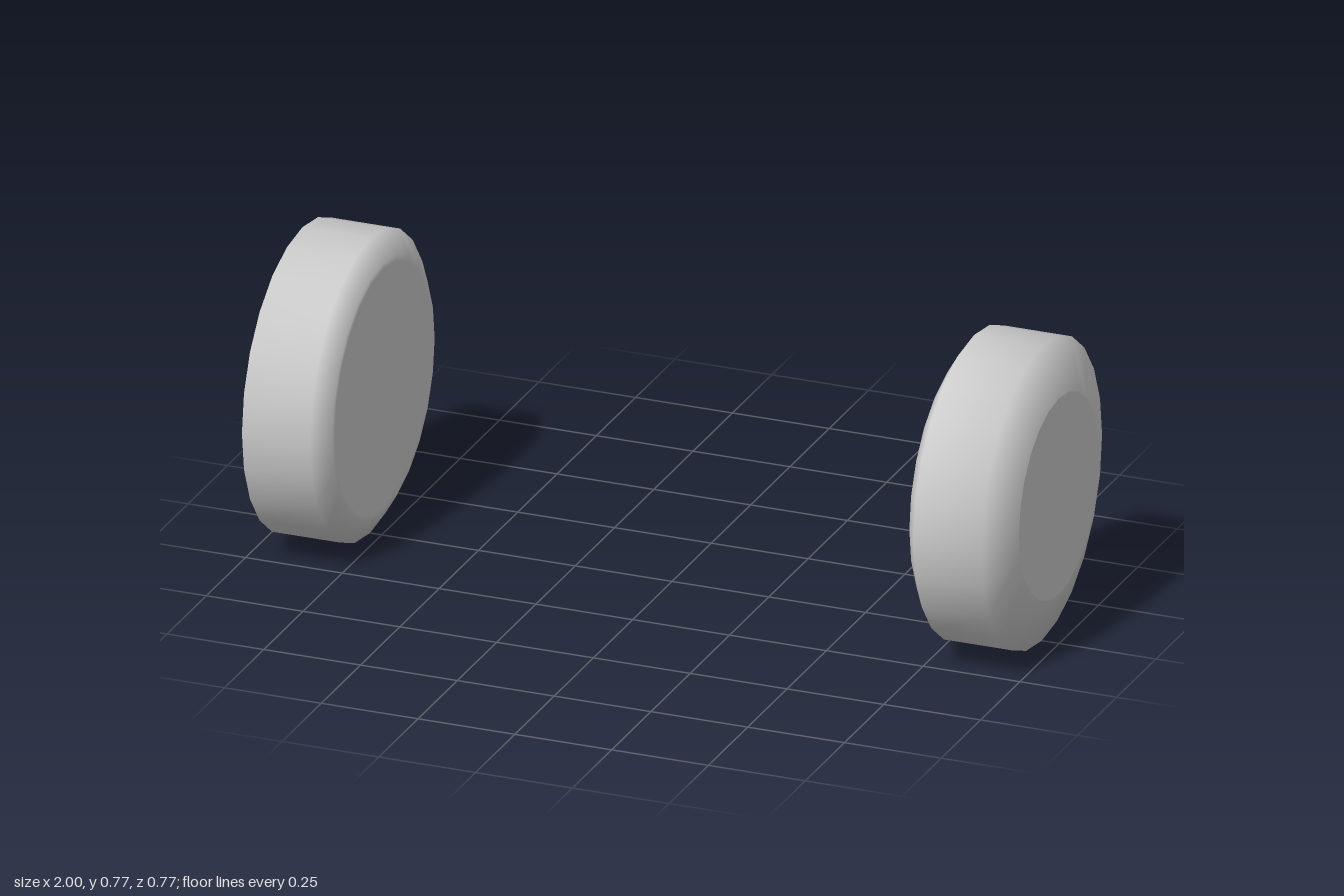
import * as THREE from 'three';

const SIDES = 24;
const RADIUS = 0.384;
const OUTER_RADIUS = 0.255;

export function createModel() {
  const model = new THREE.Group();
  const grey = new THREE.MeshStandardMaterial({ color: 0xcccccc });
  grey.name = 'grey';

  // Profile (radius, distance from centre): flat inner face, small bevel, tread, wide outer bevel
  const profile = [
    [0, 0.745], [0.31, 0.745], [0.325, 0.745], [RADIUS, 0.78], [RADIUS, 0.955], [OUTER_RADIUS, 1],
  ].map(([r, d]) => new THREE.Vector2(r, d));
  const tyreGeometry = new THREE.LatheGeometry(profile, SIDES).rotateZ(-Math.PI / 2);

  // Flat outer face with a crisp rim
  const capGeometry = new THREE.CircleGeometry(OUTER_RADIUS, SIDES)
    .rotateY(Math.PI / 2).translate(1, 0, 0);

  // One wheel on each side, the right one turned to face outwards
  for (const [name, turn] of [['leftWheel', 0], ['rightWheel', Math.PI]]) {
    const wheel = new THREE.Group();
    wheel.name = name;
    const tyre = new THREE.Mesh(tyreGeometry, grey);
    tyre.name = 'tyre';
    const cap = new THREE.Mesh(capGeometry, grey);
    cap.name = 'outerFace';
    wheel.add(tyre, cap);
    wheel.rotation.y = turn;
    wheel.position.y = RADIUS;
    model.add(wheel);
  }
  return model;
}
